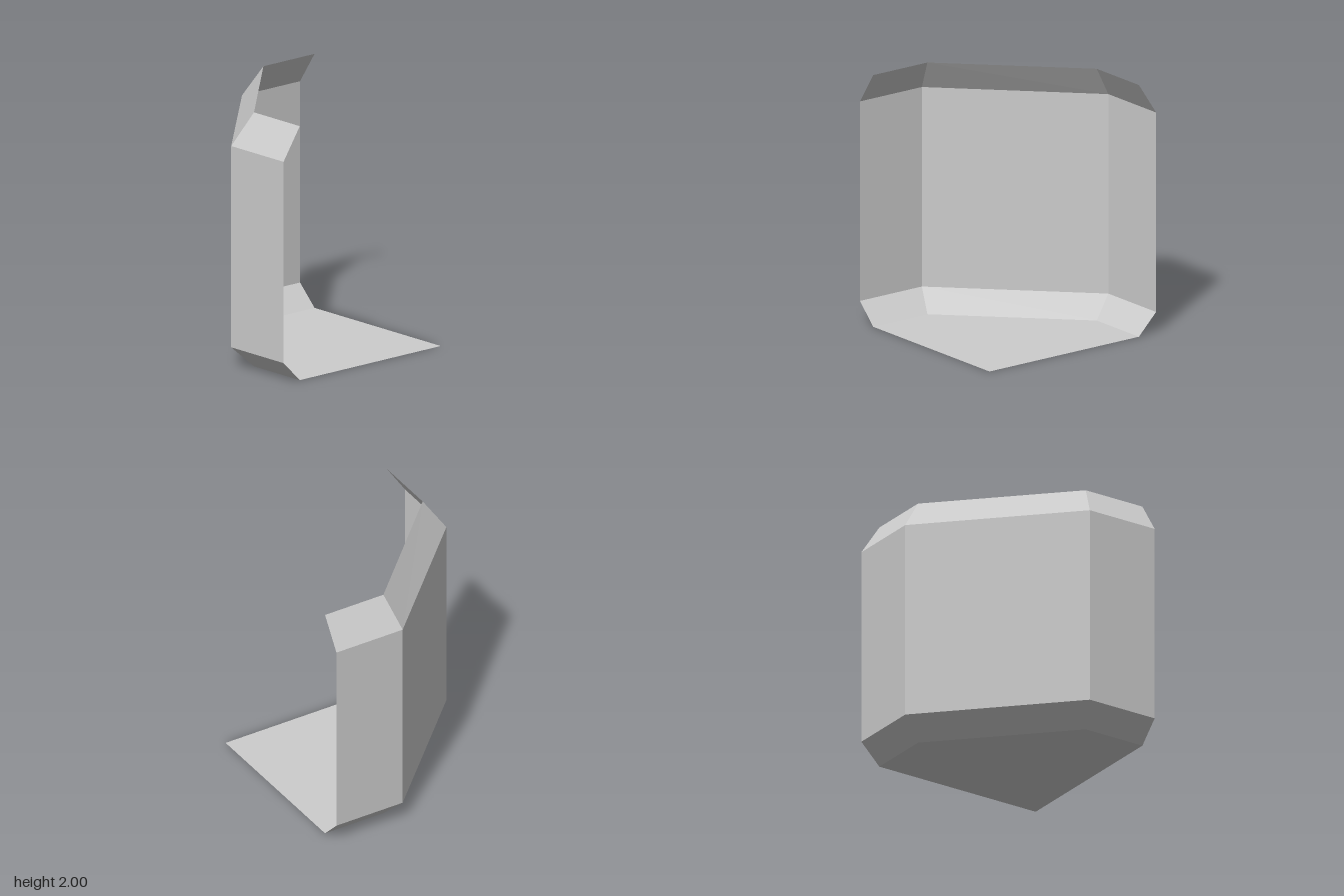
import * as THREE from 'three';

// Plan outlines [x, z], running from the back right corner to the front left corner
const outer = [[-0.8, -0.8], [-0.8, -0.21], [0.205, 0.8], [0.8, 0.8]];
const inset = [[-0.635, -0.8], [-0.635, -0.28], [0.28, 0.635], [0.8, 0.635]];

export function createModel() {
  const group = new THREE.Group();
  const grey = new THREE.MeshStandardMaterial({ color: 0xcccccc, flatShading: true, side: THREE.DoubleSide });
  grey.name = 'plain grey';

  function addPart(name, positions) {
    const geometry = new THREE.BufferGeometry();
    geometry.setAttribute('position', new THREE.Float32BufferAttribute(positions, 3));
    geometry.computeVertexNormals();
    const mesh = new THREE.Mesh(geometry, grey);
    mesh.name = name;
    group.add(mesh);
  }

  // Strip of quads joining two outlines at different heights, facing outward
  function addBand(name, low, y0, high, y1) {
    const positions = [];
    for (let i = 0; i < low.length - 1; i++) {
      const a = [low[i][0], y0, low[i][1]];
      const b = [low[i + 1][0], y0, low[i + 1][1]];
      const c = [high[i + 1][0], y1, high[i + 1][1]];
      const d = [high[i][0], y1, high[i][1]];
      positions.push(...a, ...b, ...c, ...a, ...c, ...d);
    }
    addPart(name, positions);
  }

  addBand('lowerBevel', inset, 0, outer, 0.165);
  addBand('wall', outer, 0.165, outer, 1.75);
  addBand('upperBevel', outer, 1.75, inset, 2);

  // Floor fans out from the open back left corner
  const floor = [];
  for (let i = 0; i < inset.length - 1; i++) {
    const [p, q] = [inset[i], inset[i + 1]];
    floor.push(0.8, 0, -0.8, p[0], 0, p[1], q[0], 0, q[1]);
  }
  addPart('floor', floor);

  return group;
}
